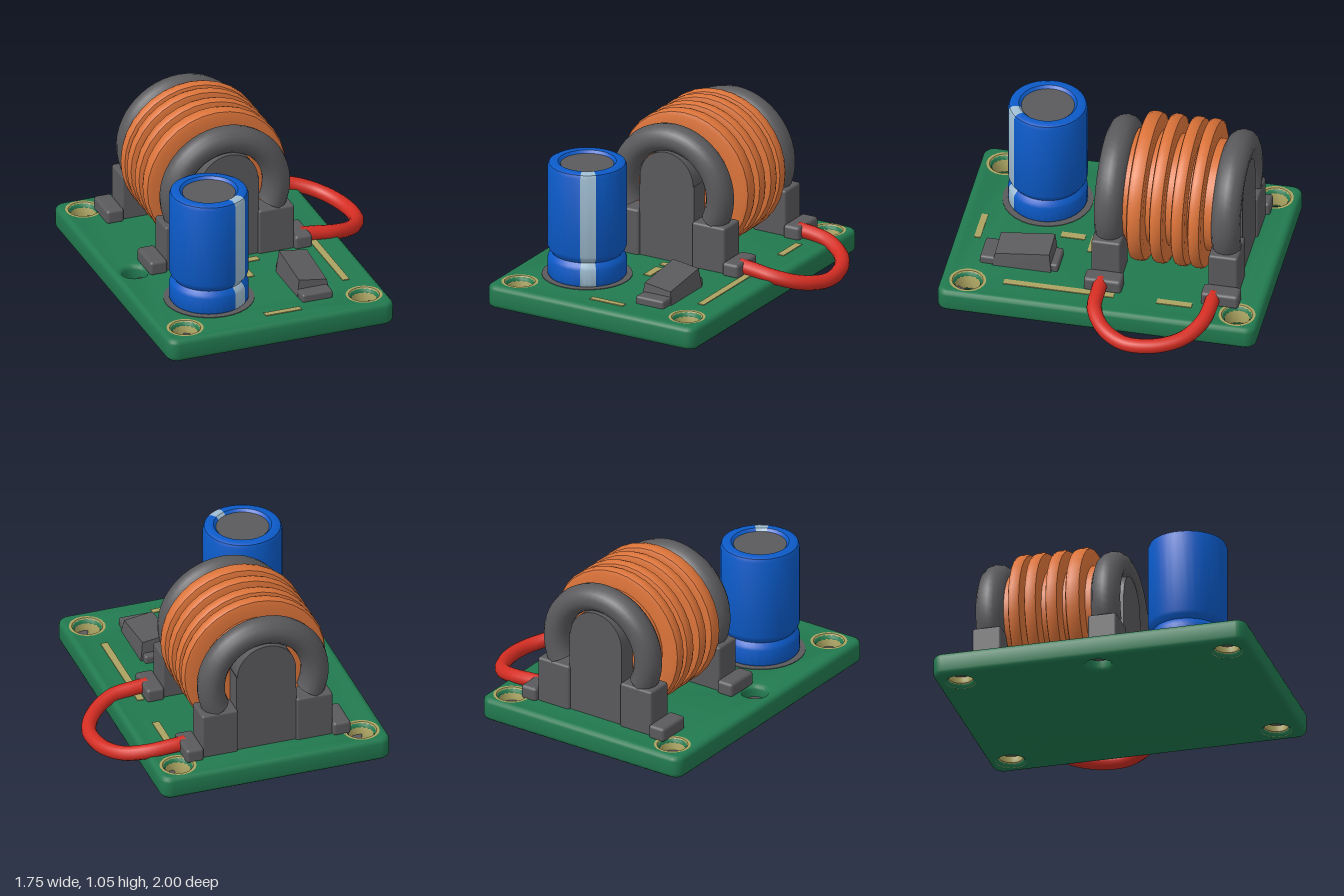
import * as THREE from 'three';
import { toCreasedNormals } from 'three/addons/utils/BufferGeometryUtils.js';
import { RoundedBoxGeometry } from 'three/addons/geometries/RoundedBoxGeometry.js';

const material = (name, color, side = THREE.FrontSide) => {
  const m = new THREE.MeshStandardMaterial({ color, side });
  m.name = name;
  return m;
};

export function createModel() {
  const green = material('board green', 0x21794f);
  const grey = material('dark grey', 0x5a595c, THREE.DoubleSide);
  const copper = material('copper', 0xdb7339);
  const blue = material('sleeve blue', 0x0b5ac8, THREE.DoubleSide);
  const pale = material('stripe pale blue', 0x9fbdd2, THREE.DoubleSide);
  const red = material('wire red', 0xd42d22);
  const gold = material('dull gold', 0xaaa260, THREE.DoubleSide);

  const model = new THREE.Group();
  const top = 0.145;

  const add = (name, geometry, mat, x = 0, y = 0, z = 0, parent = model) => {
    const mesh = new THREE.Mesh(geometry, mat);
    mesh.name = name;
    mesh.position.set(x, y, z);
    parent.add(mesh);
    return mesh;
  };
  // Rounded box given by its minimum and maximum corners
  const block = (name, mat, [x0, y0, z0], [x1, y1, z1], parent = model, r = 0.015) =>
    add(name, new RoundedBoxGeometry(x1 - x0, y1 - y0, z1 - z0, 2, r), mat,
      (x0 + x1) / 2, (y0 + y1) / 2, (z0 + z1) / 2, parent);
  const lathe = (pts, segments, start = 0, length = Math.PI * 2) =>
    toCreasedNormals(new THREE.LatheGeometry(
      pts.map(([r, y]) => new THREE.Vector2(r, y)), segments, start, length), 0.6);

  // Circuit board with bevelled edges and countersunk holes
  const holes = [[-0.73, -0.85], [0.465, -0.86], [-0.735, 0.03], [-0.72, 0.845], [0.465, 0.83]];
  const bevel = 0.03;
  const [bx0, bx1, bz, cr] = [-0.88 + bevel, 0.61 - bevel, 1 - bevel, 0.04];
  const outline = new THREE.Shape();
  outline.absarc(bx1 - cr, bz - cr, cr, 0, Math.PI / 2);
  outline.absarc(bx0 + cr, bz - cr, cr, Math.PI / 2, Math.PI);
  outline.absarc(bx0 + cr, -bz + cr, cr, Math.PI, Math.PI * 1.5);
  outline.absarc(bx1 - cr, -bz + cr, cr, Math.PI * 1.5, Math.PI * 2);
  for (const [x, z] of holes) {
    const hole = new THREE.Path();
    hole.absarc(x, -z, 0.108, 0, Math.PI * 2, true);
    outline.holes.push(hole);
  }
  const boardGeometry = new THREE.ExtrudeGeometry(outline, {
    depth: top - 2 * bevel, bevelEnabled: true, bevelSize: bevel,
    bevelThickness: bevel, bevelSegments: 3, curveSegments: 8,
  });
  boardGeometry.rotateX(-Math.PI / 2);
  add('board', toCreasedNormals(boardGeometry, 0.7), green, 0, bevel, 0);

  // Hole linings, each half closed by a thin plate
  holes.forEach(([x, z], i) => {
    if (i !== 2) {
      add('holeRim', lathe([[0.114, 0.148], [0.096, 0.148], [0.076, 0.115],
        [0.074, 0.03], [0.095, 0.002]], 20), gold, x, 0, z);
    }
    const plate = new THREE.CircleGeometry(0.074, 12, -2 + (i % 2) * 0.5, Math.PI * 0.9);
    add('holePlate', plate.rotateX(-Math.PI / 2), grey, x, 0.07, z);
  });

  // Gold traces: x0, x1, z0, z1
  for (const [x0, x1, z0, z1] of [
    [0.41, 0.455, -0.57, -0.35], [0.41, 0.455, -0.08, 0.61], [-0.125, 0.035, 0.12, 0.17],
    [-0.125, -0.075, 0.21, 0.36], [-0.2, 0.035, 0.84, 0.88],
  ]) {
    add('trace', new THREE.BoxGeometry(x1 - x0, 0.006, z1 - z0), gold,
      (x0 + x1) / 2, top + 0.002, (z0 + z1) / 2);
  }

  // Capacitor: sleeve with a pinched groove, stripe, top and base ring
  const capacitor = new THREE.Group();
  capacitor.name = 'capacitor';
  capacitor.position.set(-0.435, 0, 0.515);
  model.add(capacitor);
  const sleeve = [[0.235, top], [0.245, 0.16], [0.245, 0.255], [0.238, 0.275], [0.218, 0.298],
    [0.238, 0.325], [0.245, 0.345], [0.245, 0.86], [0.236, 0.882], [0.215, 0.892],
    [0.18, 0.889], [0.162, 0.87]];
  const s0 = 0.36, s1 = 0.76;
  add('sleeve', lathe(sleeve, 32, s1, Math.PI * 2 - (s1 - s0)), blue, 0, 0, 0, capacitor);
  add('stripe', lathe(sleeve, 3, s0, s1 - s0), pale, 0, 0, 0, capacitor);
  add('capacitorTop', new THREE.CylinderGeometry(0.164, 0.164, 0.01, 32), grey, 0, 0.868, 0, capacitor);
  add('baseRing', new THREE.CylinderGeometry(0.28, 0.28, 0.008, 32), grey, 0, top, 0, capacitor);

  // Coil: copper core and four windings around a z axis
  const cx = -0.13, cy = 0.59;
  const coil = new THREE.Group();
  coil.name = 'coil';
  model.add(coil);
  add('coilCore', new THREE.CylinderGeometry(0.35, 0.35, 0.64, 32).rotateX(Math.PI / 2),
    copper, cx, cy, -0.37, coil);
  const winding = (w) => lathe([[0.34, -w], [0.43, -w], [0.456, -w * 0.8], [0.465, -w * 0.3],
    [0.465, w * 0.3], [0.456, w * 0.8], [0.43, w], [0.34, w]], 32).rotateX(Math.PI / 2);
  for (const [z, w] of [[-0.18, 0.052], [-0.315, 0.043], [-0.45, 0.043], [-0.555, 0.042]]) {
    add('winding', winding(w), copper, cx, cy, z, coil);
  }

  // Two end frames: arch, centre panel, corner blocks and feet
  const panel = new THREE.Shape();
  panel.moveTo(-0.197, top);
  panel.lineTo(0.197, top);
  panel.lineTo(0.197, 0.67);
  panel.absarc(0, 0.665, 0.19, 0, Math.PI);
  panel.lineTo(-0.197, top);
  const panelGeometry = toCreasedNormals(new THREE.ExtrudeGeometry(panel,
    { depth: 0.13, bevelEnabled: false, curveSegments: 16 }), 0.6);
  const archArc = Math.PI + 0.9;
  const arch = new THREE.TorusGeometry(0.338, 0.086, 14, 32, archArc)
    .rotateZ(-0.45).scale(1, 1, 1.05);
  for (const [z, dir] of [[0, 1], [-0.735, -1]]) {
    const frame = new THREE.Group();
    frame.name = dir > 0 ? 'frontFrame' : 'backFrame';
    frame.position.set(cx, 0, z);
    model.add(frame);
    add('arch', arch, grey, 0, cy, 0, frame);
    add('centrePanel', panelGeometry, grey, 0, 0, dir > 0 ? -0.055 : -0.075, frame);
    for (const side of [-1, 1]) {
      const span = (a, b) => (side > 0 ? [a, b] : [-b, -a]);
      const [a0, a1] = span(0.19, 0.425);
      block('cornerBlock', grey, [a0, top - 0.01, -0.092], [a1, 0.44, 0.092], frame);
      const [f0, f1] = span(0.42, 0.535);
      block('foot', grey, [f0, top - 0.01, -0.118], [f1, 0.228, 0.118], frame, 0.02);
    }
  }

  // Diode: sloped body between two low terminals
  const diode = new THREE.Group();
  diode.name = 'diode';
  model.add(diode);
  const body = new THREE.BoxGeometry(0.215, 0.14, 0.37);
  const p = body.attributes.position;
  for (let i = 0; i < p.count; i++) {
    if (p.getY(i) < 0) continue;
    const x = p.getX(i), z = p.getZ(i);
    p.setXYZ(i, x * 0.85, 0.05 - z * 0.11 - x * 0.12, z * 0.92);
  }
  body.computeVertexNormals();
  add('diodeBody', body, grey, 0.178, 0.21, 0.53, diode);
  block('terminal', grey, [0.085, top - 0.01, 0.305], [0.27, 0.195, 0.4], diode);
  block('terminal', grey, [0.075, top - 0.01, 0.69], [0.275, 0.195, 0.795], diode);

  // Wire loop drooping over the side of the board
  const path = new THREE.CatmullRomCurve3([
    [0.36, 0.188, 0.015], [0.45, 0.18, 0.015], [0.59, 0.16, 0.01], [0.73, 0.122, -0.07],
    [0.815, 0.098, -0.2], [0.83, 0.095, -0.31], [0.8, 0.103, -0.46], [0.72, 0.125, -0.59],
    [0.59, 0.16, -0.67], [0.46, 0.18, -0.69], [0.36, 0.188, -0.69],
  ].map((v) => new THREE.Vector3(...v)));
  add('wire', new THREE.TubeGeometry(path, 48, 0.046, 12), red);

  return model;
}
